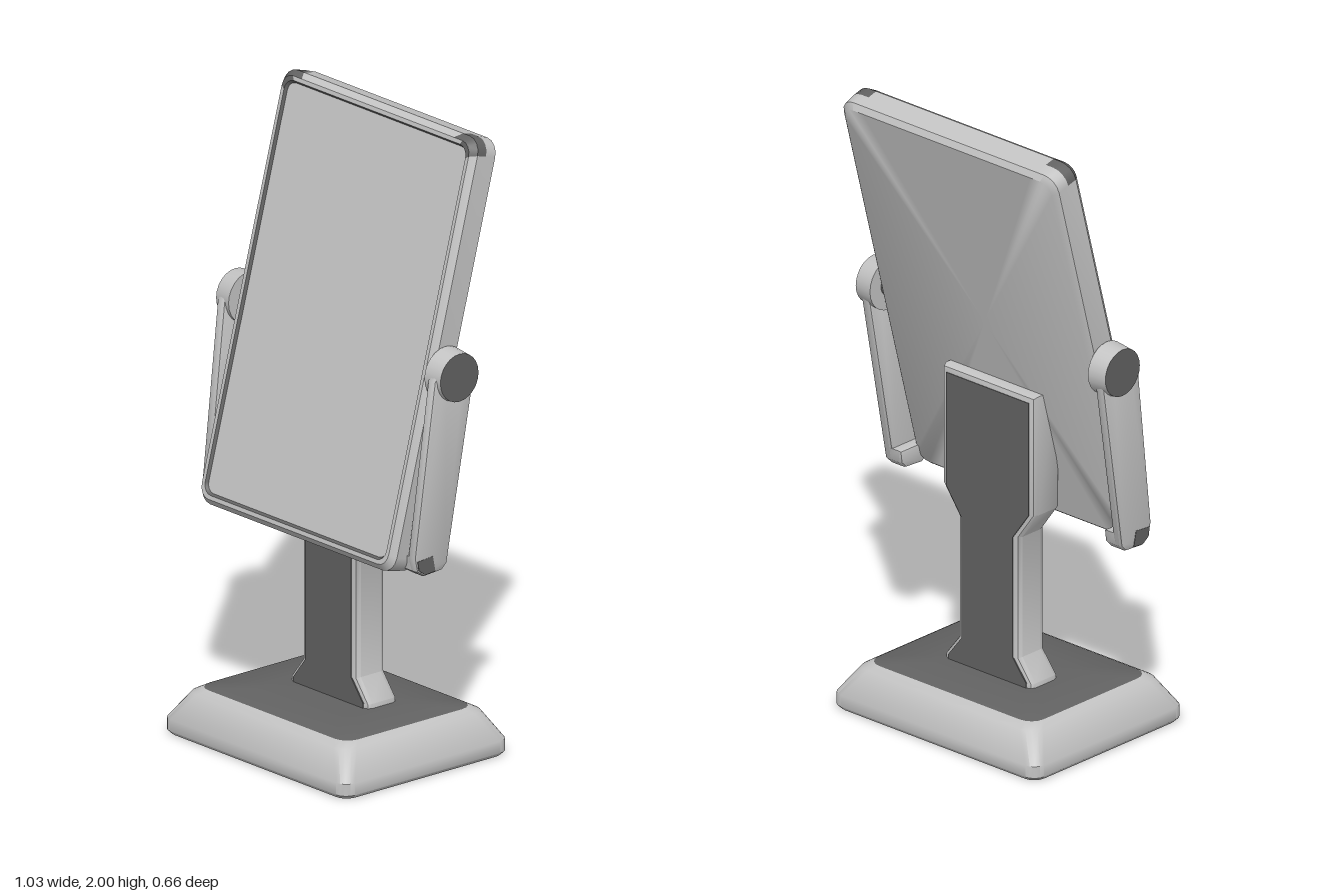
import * as THREE from 'three';
import { toCreasedNormals } from 'three/addons/utils/BufferGeometryUtils.js';

const mat = (name, color) => {
  const m = new THREE.MeshStandardMaterial({ color });
  m.name = name;
  return m;
};

// Outline of a rounded rectangle; "tab" adds points on the long edges near each corner
function roundedRect(hx, hy, r, tab = 0) {
  const pts = [];
  [[1, 1], [-1, 1], [-1, -1], [1, -1]].forEach(([sx, sy], k) => {
    const arc = [];
    for (let i = 0; i <= 4; i++) {
      const a = (k + i / 4) * Math.PI / 2;
      arc.push([sx * (hx - r) + r * Math.cos(a), sy * (hy - r) + r * Math.sin(a)]);
    }
    if (tab) {
      const t = [sx * (hx - tab), sy * hy];
      if (k % 2) arc.unshift(t); else arc.push(t);
    }
    pts.push(...arc);
  });
  return pts;
}

// Closed body through rounded rectangles [z, hx, hy, r]; pick(i, midpoint) gives the material index
function loft(rings, pick, tab = 0) {
  const pos = [], faces = [[], []];
  let n = 0;
  for (const [z, hx, hy, r] of rings) {
    const p = roundedRect(hx, hy, r, tab);
    n = p.length;
    p.forEach(([x, y]) => pos.push(x, y, z));
  }
  const last = rings.length - 1, c0 = n * rings.length, c1 = c0 + 1;
  pos.push(0, 0, rings[0][0], 0, 0, rings[last][0]);
  for (let j = 0; j < n; j++) {
    const k = (j + 1) % n;
    for (let i = 0; i < last; i++) {
      const a = i * n + j, b = i * n + k, c = b + n, d = a + n;
      const mid = [0, 1, 2].map(q => (pos[a * 3 + q] + pos[b * 3 + q] + pos[c * 3 + q] + pos[d * 3 + q]) / 4);
      faces[pick(i, mid)].push(a, b, c, a, c, d);
    }
    faces[pick(-1, [0, 0, 0])].push(c0, k, j);
    faces[pick(last, [0, 0, 0])].push(c1, last * n + j, last * n + k);
  }
  const g = new THREE.BufferGeometry();
  g.setAttribute('position', new THREE.Float32BufferAttribute(pos, 3));
  g.setIndex([...faces[0], ...faces[1]]);
  g.addGroup(0, faces[0].length, 0);
  g.addGroup(faces[0].length, faces[1].length, 1);
  return toCreasedNormals(g, 0.7);
}

const shapeOf = pts => new THREE.Shape(pts.map(([x, y]) => new THREE.Vector2(x, y)));

// Extrusion with a bevel kept inside the outline, centred on z = 0
function bevelled(shape, depth, bevel) {
  const g = new THREE.ExtrudeGeometry(shape, {
    depth: depth - 2 * bevel, bevelEnabled: bevel > 0, bevelThickness: bevel,
    bevelSize: bevel, bevelOffset: -bevel, bevelSegments: 2, curveSegments: 10,
  });
  g.translate(0, 0, -depth / 2 + bevel);
  return toCreasedNormals(g, 0.7);
}

export function createModel() {
  const light = mat('lightGrey', 0xc3c3c3);
  const dark = mat('darkGrey', 0x626262);
  const glass = mat('mirrorGrey', 0xc6c6c6);
  const model = new THREE.Group();
  const add = (parent, name, geometry, material) => {
    const m = new THREE.Mesh(geometry, material);
    m.name = name;
    parent.add(m);
    return m;
  };

  // Base: sloped block with dark top and underside
  const baseRings = [
    [0, 0.41, 0.32, 0.04], [0.012, 0.42, 0.33, 0.04], [0.05, 0.42, 0.33, 0.04],
    [0.135, 0.365, 0.285, 0.05], [0.15, 0.34, 0.257, 0.05], [0.16, 0.2, 0.12, 0.04],
  ];
  const baseGeo = loft(baseRings, i => (i === -1 || i >= 4 ? 1 : 0));
  baseGeo.rotateX(-Math.PI / 2);
  add(model, 'base', baseGeo, [light, dark]);

  // Column: flared foot, narrow neck, wide back plate, dark inlays front and back
  const half = [[0.18, 0.14], [0.18, 0.175], [0.125, 0.245], [0.125, 0.64], [0.19, 0.73], [0.19, 1.12]];
  const columnShape = inset => {
    const p = half.map(([x, y], i) => [x - inset, i === half.length - 1 ? y - inset : y]);
    return shapeOf([...p, ...p.map(([x, y]) => [-x, y]).reverse()]);
  };
  const column = new THREE.Group();
  column.name = 'column';
  column.position.z = -0.03;
  model.add(column);
  add(column, 'columnBody', bevelled(columnShape(0), 0.12, 0.02), light);
  for (const s of [1, -1]) {
    add(column, s > 0 ? 'columnFrontInlay' : 'columnBackInlay',
      bevelled(columnShape(0.02), 0.004, 0), dark).position.z = s * 0.06;
  }

  // Tilted mirror: frame with dark upper corners and inner lip, then the glass
  const head = new THREE.Group();
  head.name = 'mirrorHead';
  head.position.set(0, 1.335, -0.05);
  head.rotation.x = -0.26;
  model.add(head);
  const frameRings = [
    [-0.055, 0.425, 0.655, 0.04], [-0.04, 0.443, 0.672, 0.05], [0, 0.445, 0.675, 0.05],
    [0.035, 0.445, 0.675, 0.05], [0.055, 0.428, 0.658, 0.04], [0.055, 0.415, 0.645, 0.035],
    [0.044, 0.408, 0.638, 0.03],
  ];
  const frameGeo = loft(frameRings, (i, [x, y, z]) => {
    const corner = z > 0 && y > 0.62 && Math.abs(x) > 0.37;
    return i === 5 || corner ? 1 : 0;
  }, 0.08);
  add(head, 'mirrorFrame', frameGeo, [light, dark]);
  add(head, 'mirrorGlass', new THREE.ShapeGeometry(shapeOf(roundedRect(0.408, 0.638, 0.03))), glass)
    .position.z = 0.047;

  // Side arms with a pivot knob above and a hooked foot below
  const armShape = shapeOf([
    [-0.02, 0.7], [0, 0.68], [0.07, 0.675], [0.1, 0.695], [0.11, 0.74],
    [0.04, 1.29], [0, 1.34], [-0.08, 1.34], [-0.12, 1.29],
  ]);
  const footShape = shapeOf([[-0.02, 0.7], [0, 0.68], [0.07, 0.675], [0.1, 0.695], [0.105, 0.74], [-0.025, 0.74]]);
  const patchShape = shapeOf([[0.03, 0.685], [0.07, 0.682], [0.095, 0.7], [0.1, 0.73], [0.04, 0.735]]);
  for (const s of [1, -1]) {
    const arm = new THREE.Group();
    arm.name = s > 0 ? 'leftArm' : 'rightArm';
    model.add(arm);

    const bar = bevelled(armShape, 0.036, 0.01);
    bar.rotateY(-Math.PI / 2);
    const p = bar.attributes.position;
    for (let i = 0; i < p.count; i++) p.setX(i, p.getX(i) + s * (0.47 + (p.getY(i) - 0.68) * 0.02));
    add(arm, 'armBar', toCreasedNormals(bar, 0.7), light);

    const foot = bevelled(footShape, 0.07, 0.01);
    foot.rotateY(-Math.PI / 2);
    add(arm, 'armFoot', foot, light).position.x = s * 0.452;

    const patch = bevelled(patchShape, 0.004, 0);
    patch.rotateY(-Math.PI / 2);
    add(arm, 'armFootPad', patch, dark).position.x = s * 0.488;

    const knob = add(arm, 'pivotKnob', new THREE.CylinderGeometry(0.076, 0.083, 0.065, 24), [light, dark, light]);
    knob.rotation.z = -s * Math.PI / 2;
    knob.position.set(s * 0.481, 1.29, -0.045);

    const pin = add(arm, 'pivotPin', new THREE.CylinderGeometry(0.035, 0.035, 0.06, 16), dark);
    pin.rotation.z = Math.PI / 2;
    pin.position.set(s * 0.45, 1.29, -0.045);
  }
  return model;
}
